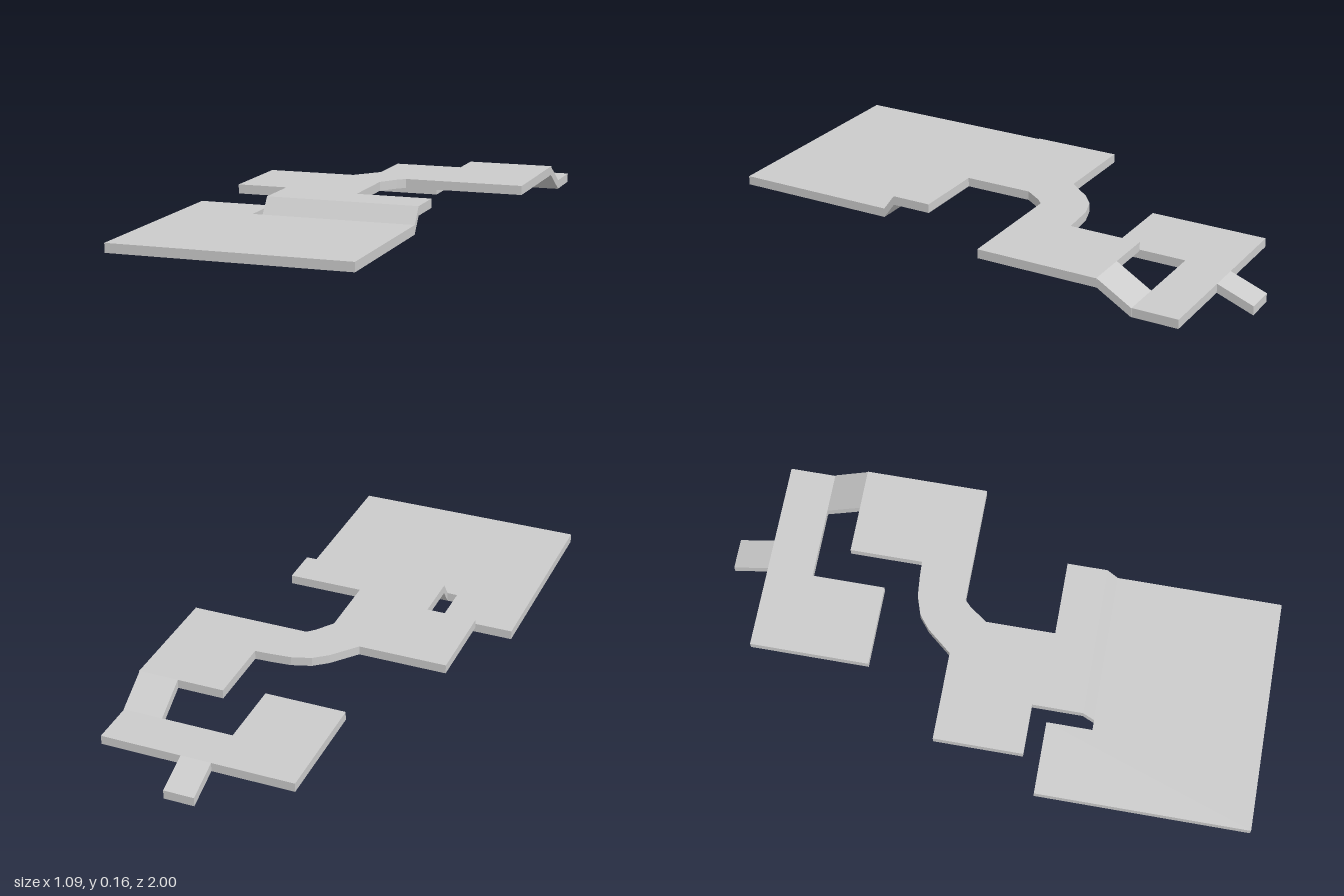
import * as THREE from 'three';

const T = 0.033; // sheet thickness
const LOW_FRONT = 0.07, HIGH = 0.127, LOW_BACK = 0.05; // underside heights

export function createModel() {
  const group = new THREE.Group();
  const material = new THREE.MeshStandardMaterial({ color: 0xcccccc });

  function add(name, geometry) {
    const mesh = new THREE.Mesh(geometry, material);
    mesh.name = name;
    group.add(mesh);
  }

  // Flat sheet from an outline of [x, z] points, underside at height y
  function plate(name, outline, y) {
    const shape = new THREE.Shape(outline.map(([x, z]) => new THREE.Vector2(x, -z)));
    const geometry = new THREE.ExtrudeGeometry(shape, { depth: T, bevelEnabled: false });
    geometry.rotateX(-Math.PI / 2).translate(0, y, 0);
    add(name, geometry);
  }

  // Sloping strip between two z positions, spanning x0 to x1
  function ramp(name, x0, x1, zA, yA, zB, yB) {
    const profile = [[zA, yA], [zB, yB], [zB, yB + T], [zA, yA + T]];
    const shape = new THREE.Shape(profile.map(([z, y]) => new THREE.Vector2(-z, y)));
    const geometry = new THREE.ExtrudeGeometry(shape, { depth: x1 - x0, bevelEnabled: false });
    geometry.rotateY(Math.PI / 2).translate(x0, 0, 0);
    add(name, geometry);
  }

  // Large front pad with its side tongue
  plate('frontPad', [
    [-0.545, 1], [0.308, 1], [0.308, 0.4], [-0.28, 0.4], [-0.28, 0.235], [-0.545, 0.235],
  ], LOW_FRONT);
  ramp('frontBend', -0.243, 0.308, 0.4, LOW_FRONT, 0.358, HIGH);

  // Raised middle sheet with curved neck
  plate('raisedPlate', [
    [-0.243, 0.358], [0.308, 0.358], [0.308, 0.212], [0.035, 0.212],
    [0.035, -0.038], [0.08, -0.102], [0.105, -0.126], [0.54, -0.126],
    [0.54, -0.572], [0.222, -0.572], [0.222, -0.308],
    [0.165, -0.305], [0.09, -0.298], [0.02, -0.275], [-0.03, -0.235],
    [-0.105, -0.145], [-0.427, -0.145], [-0.427, 0.176], [-0.243, 0.176],
  ], HIGH);
  ramp('backBend', 0.392, 0.538, -0.572, HIGH, -0.7, LOW_BACK);

  // Lowered back sheet with its returning pad
  plate('backPad', [
    [0.536, -0.7], [0.536, -0.867], [-0.17, -0.867], [-0.17, -0.432],
    [0.129, -0.432], [0.129, -0.7],
  ], LOW_BACK);

  // Down-turned end tab
  ramp('endTab', 0.129, 0.24, -0.867, LOW_BACK, -1, 0);

  return group;
}
